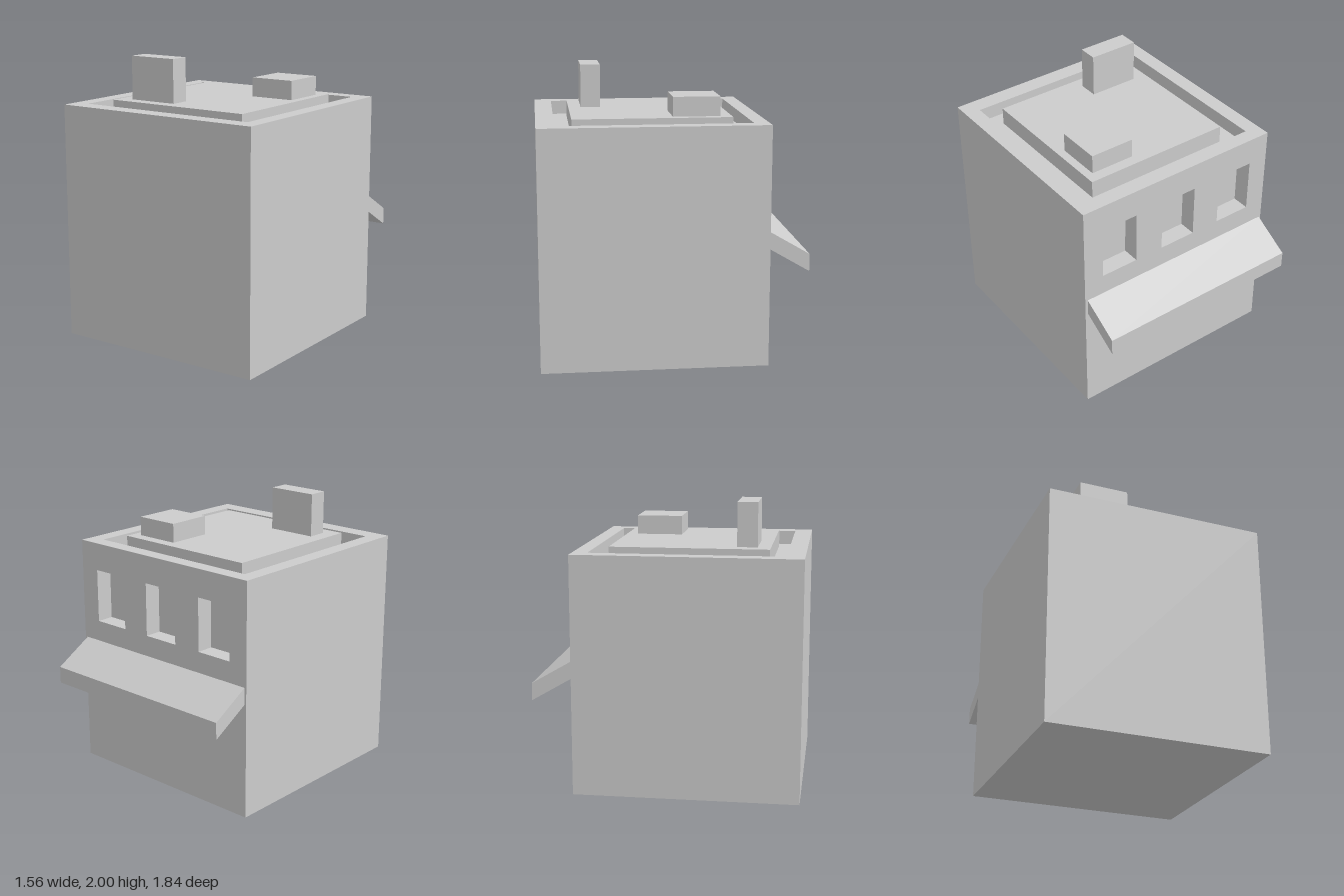
import * as THREE from 'three';

const FACES = ['+x', '-x', '+y', '-y', '+z', '-z'];

// Box between two corners; "open" faces are left out, "inward" turns it into a recess
function boxBetween([x0, y0, z0], [x1, y1, z1], open = [], inward = false) {
  const geo = new THREE.BoxGeometry(x1 - x0, y1 - y0, z1 - z0);
  geo.translate((x0 + x1) / 2, (y0 + y1) / 2, (z0 + z1) / 2);
  let index = [];
  FACES.forEach((face, i) => {
    if (!open.includes(face)) index.push(...geo.index.array.slice(i * 6, i * 6 + 6));
  });
  if (inward) {
    index.reverse();
    geo.attributes.normal.array.forEach((n, i, a) => { a[i] = -n; });
  }
  geo.clearGroups();
  geo.setIndex(index);
  return geo;
}

// Rectangle outline, as a Shape or a hole Path
function rect(Type, x0, y0, x1, y1) {
  return new Type([[x0, y0], [x1, y0], [x1, y1], [x0, y1]].map(p => new THREE.Vector2(...p)));
}

export function createModel() {
  const group = new THREE.Group();
  const material = new THREE.MeshStandardMaterial({ color: 0xcccccc, flatShading: true });
  const add = (name, geo) => {
    const mesh = new THREE.Mesh(geo, material);
    mesh.name = name;
    group.add(mesh);
    return mesh;
  };

  const W = 0.78, H = 1.67, back = -0.64, front = 0.92;
  const roofY = 1.57;

  // Plain walls and base
  add('walls', boxBetween([-W, 0, back], [W, H, front], ['+y', '-z']));

  // Back wall with three recessed windows (drawn facing +z, then turned round)
  const wall = rect(THREE.Shape, -W, 0, W, H);
  const winHalf = 0.138, winLow = 1.09, winHigh = 1.472, winDepth = 0.125;
  for (const x of [-0.493, 0, 0.493]) {
    wall.holes.push(rect(THREE.Path, x - winHalf, winLow, x + winHalf, winHigh));
    add('windowRecess', boxBetween(
      [x - winHalf, winLow, back], [x + winHalf, winHigh, back + winDepth], ['-z'], true));
  }
  add('backWall', new THREE.ShapeGeometry(wall).rotateY(Math.PI).translate(0, 0, back));

  // Parapet rim around the sunken roof (shape y becomes -z)
  const rim = rect(THREE.Shape, -W, -front, W, -back);
  rim.holes.push(rect(THREE.Path, -0.67, -0.795, 0.67, 0.535));
  add('parapetRim', new THREE.ShapeGeometry(rim).rotateX(-Math.PI / 2).translate(0, H, 0));
  add('roofRecess', boxBetween([-0.67, roofY, -0.535], [0.67, H, 0.795], ['+y'], true));

  // Raised roof slab with chimney and vent box
  const slabY = 1.695;
  add('roofSlab', boxBetween([-0.54, roofY, -0.415], [0.55, slabY, 0.68], ['-y']));
  add('chimney', boxBetween([-0.44, slabY, 0.45], [-0.08, 2, 0.59], ['-y']));
  add('ventBox', boxBetween([0.165, slabY, -0.335], [0.49, 1.83, -0.01], ['-y']));

  // Awning: a box sheared down as it leaves the back wall
  const awning = boxBetween([-0.765, 0.82, -0.915], [0.76, 0.94, back]);
  const pos = awning.attributes.position;
  for (let i = 0; i < pos.count; i++) {
    pos.setY(i, pos.getY(i) + (pos.getZ(i) - back) * 0.585);
  }
  awning.computeVertexNormals();
  add('awning', awning);

  return group;
}
